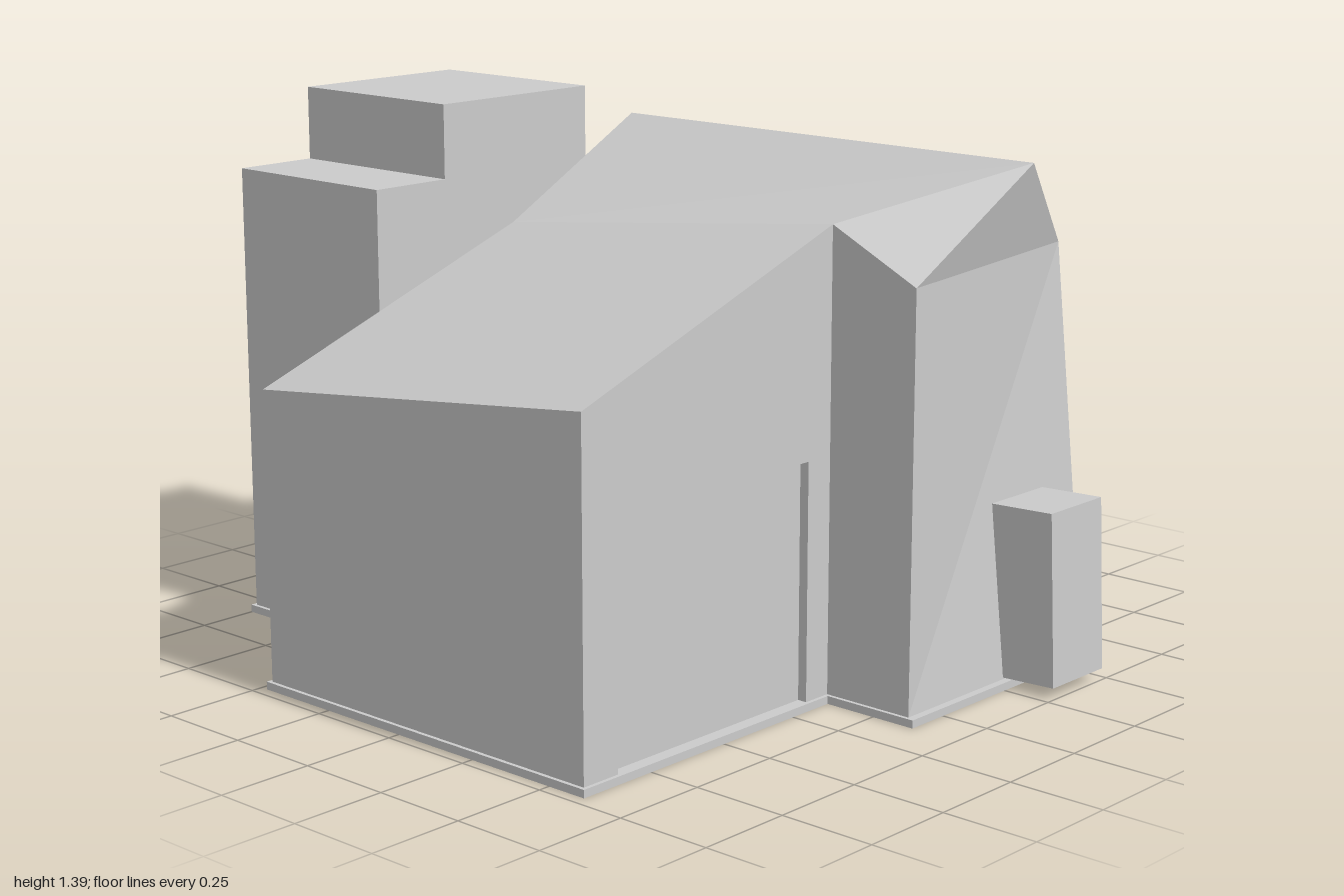
import * as THREE from 'three';

const material = new THREE.MeshStandardMaterial({ color: 0xcccccc, flatShading: true });

function addMesh(parent, name, geometry) {
  const mesh = new THREE.Mesh(geometry, material);
  mesh.name = name;
  parent.add(mesh);
  return mesh;
}

// Flat faces from corner loops (counter-clockwise from outside), fanned from the first corner
function faces(loops) {
  const corners = [];
  for (const loop of loops) {
    for (let i = 1; i < loop.length - 1; i++) corners.push(...loop[0], ...loop[i], ...loop[i + 1]);
  }
  const geometry = new THREE.BufferGeometry();
  geometry.setAttribute('position', new THREE.Float32BufferAttribute(corners, 3));
  geometry.computeVertexNormals();
  return geometry;
}

const outline = (points) => new THREE.Shape(points.map(([x, y]) => new THREE.Vector2(x, y)));

const extrude = (points, depth) =>
  new THREE.ExtrudeGeometry(outline(points), { depth, bevelEnabled: false });

function box(parent, name, [x0, x1], [y0, y1], [z0, z1]) {
  const mesh = addMesh(parent, name, new THREE.BoxGeometry(x1 - x0, y1 - y0, z1 - z0));
  mesh.position.set((x0 + x1) / 2, (y0 + y1) / 2, (z0 + z1) / 2);
}

export function createModel() {
  const house = new THREE.Group();
  house.name = 'house';

  const floor = 0.02, back = -0.47, front = 0.6, porch = 0.85;

  // Foundation slab following the plan of the house
  const plan = [
    [-0.97, 0.61], [-0.12, 0.61], [-0.12, 0.87], [0.63, 0.87], [0.63, 0.35], [0.97, 0.35],
    [0.97, -0.48], [0.39, -0.48], [0.39, -1], [-0.59, -1], [-0.59, -0.48], [-0.97, -0.48],
  ];
  const slab = extrude(plan.map(([x, z]) => [x, -z]), floor);
  slab.rotateX(-Math.PI / 2);
  addMesh(house, 'foundation', slab);

  // Shared corners of the main roof
  const sideFront = [-0.96, 0.88, front], sideBack = [-0.96, 0.76, back];
  const kneeFront = [-0.11, 1.18, front], kneeBack = [-0.11, 1.06, back];
  const ridgeFront = [0.34, 1.3, porch], ridgeBack = [0.34, 1.3, back];
  const eaveFront = [0.61, 1.06, 0.74], eaveBack = [0.61, 1.06, back];
  const porchCorner = [-0.11, 1.06, porch];
  const ground = (x, z) => [x, floor, z];

  addMesh(house, 'mainRoof', faces([
    [sideFront, kneeFront, kneeBack, sideBack],
    [kneeFront, ridgeFront, kneeBack],
    [kneeBack, ridgeFront, ridgeBack],
    [porchCorner, ridgeFront, kneeFront],
    [ridgeFront, eaveFront, eaveBack, ridgeBack],
  ]));

  addMesh(house, 'mainWalls', faces([
    // side walls
    [ground(-0.96, back), ground(-0.96, front), sideFront, sideBack],
    [ground(-0.11, front), ground(-0.11, porch), porchCorner, kneeFront],
    [ground(0.61, porch), ground(0.61, back), eaveBack, eaveFront],
    // folded entrance wall and its gable
    [ground(-0.11, porch), eaveFront, porchCorner],
    [ground(-0.11, porch), ground(0.61, porch), eaveFront],
    [porchCorner, eaveFront, ridgeFront],
    // back wall
    [kneeBack, ridgeBack, eaveBack, ground(0.61, back), ground(-0.96, back), sideBack],
  ]));

  // Garage wall with a doorway notched out of it
  const doorLeft = -0.85, doorRight = -0.19, doorTop = 0.62, doorZ = front - 0.025;
  const garageWall = new THREE.ShapeGeometry(outline([
    [-0.96, floor], [doorLeft, floor], [doorLeft, doorTop], [doorRight, doorTop],
    [doorRight, floor], [-0.11, floor], [-0.11, 1.18], [-0.96, 0.88],
  ]));
  garageWall.translate(0, 0, front);
  addMesh(house, 'garageWall', garageWall);

  // Recessed door and the three sides of its opening
  addMesh(house, 'garageDoor', faces([
    [[doorLeft, floor, doorZ], [doorRight, floor, doorZ], [doorRight, doorTop, doorZ], [doorLeft, doorTop, doorZ]],
  ]));
  addMesh(house, 'garageDoorReveal', faces([
    [[doorLeft, floor, front], [doorLeft, floor, doorZ], [doorLeft, doorTop, doorZ], [doorLeft, doorTop, front]],
    [[doorRight, floor, doorZ], [doorRight, floor, front], [doorRight, doorTop, front], [doorRight, doorTop, doorZ]],
    [[doorLeft, doorTop, front], [doorLeft, doorTop, doorZ], [doorRight, doorTop, doorZ], [doorRight, doorTop, front]],
  ]));

  // Leaning entrance box, its side profile extruded across x
  const entrance = extrude([[-1, 0.03], [-0.8, 0.022], [-0.77, 0.46], [-0.98, 0.468]], 0.21);
  entrance.rotateY(Math.PI / 2);
  entrance.translate(0.27, 0, 0);
  addMesh(house, 'entranceBox', entrance);

  // Flat-roofed side wing
  box(house, 'sideWing', [0.61, 0.95], [floor, 0.84], [back, 0.35]);

  // Stepped rear wing
  const rearWing = extrude([
    [-0.58, floor], [0.37, floor], [0.37, 1.06], [0.16, 1.06],
    [0.16, 1.39], [-0.35, 1.39], [-0.35, 1.2], [-0.58, 1.2],
  ], 0.52);
  rearWing.translate(0, 0, -0.99);
  addMesh(house, 'rearWing', rearWing);

  return house;
}
